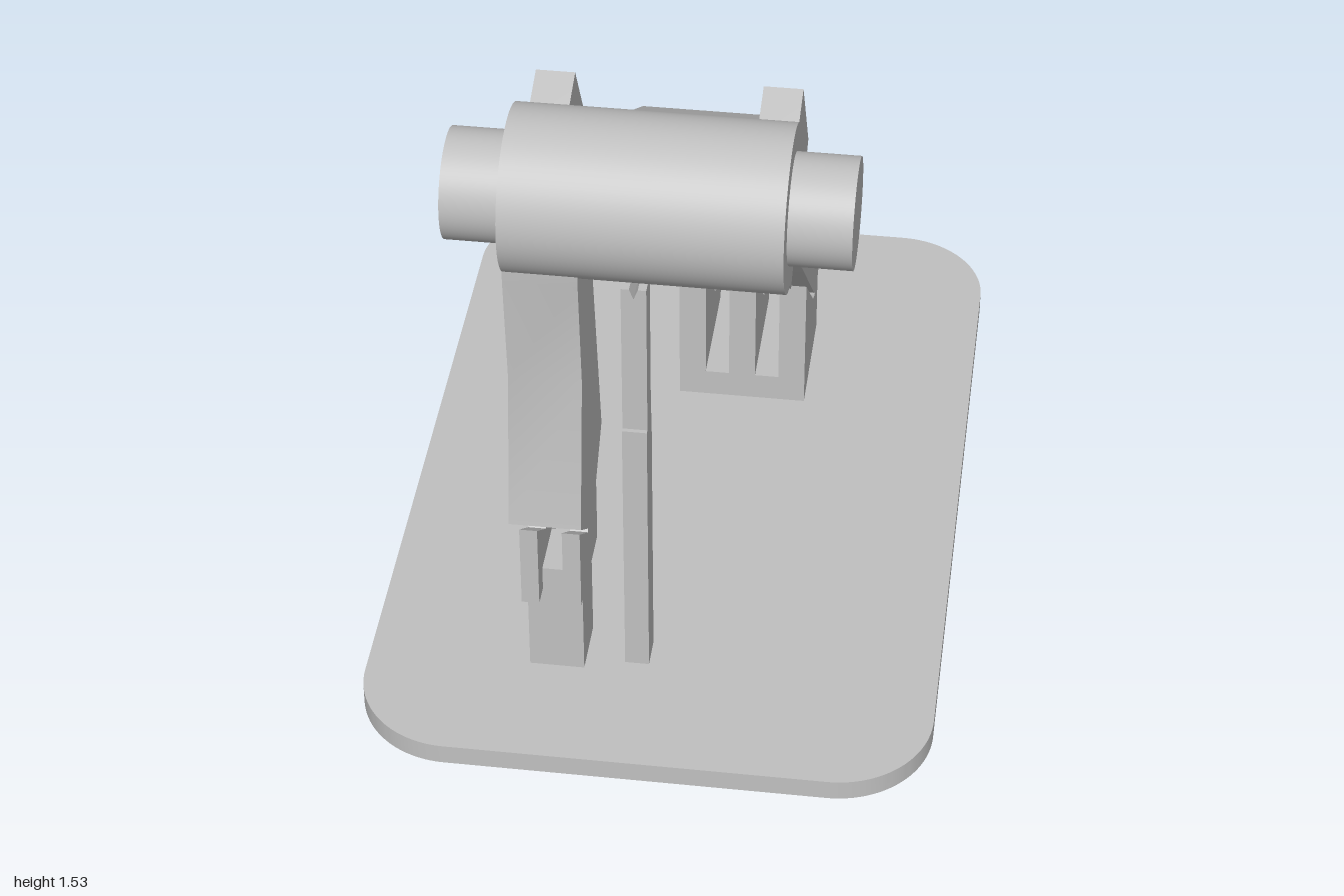
import * as THREE from 'three';
import { toCreasedNormals } from 'three/addons/utils/BufferGeometryUtils.js';

export function createModel() {
  const model = new THREE.Group();
  model.name = 'mechanism';
  const grey = new THREE.MeshStandardMaterial({ color: 0xc0c0c0 });
  grey.name = 'plain grey';

  const add = (name, geometry) => {
    const mesh = new THREE.Mesh(geometry, grey);
    mesh.name = name;
    model.add(mesh);
    return mesh;
  };

  // Box given by its limits on each axis
  const box = (name, x0, x1, y0, y1, z0, z1) =>
    add(name, new THREE.BoxGeometry(x1 - x0, y1 - y0, z1 - z0))
      .position.set((x0 + x1) / 2, (y0 + y1) / 2, (z0 + z1) / 2);

  // Side outline of [z, y] points as a shape whose x is -z
  const side = (points) => new THREE.Shape(points.map(([z, y]) => new THREE.Vector2(-z, y)));

  // Side shape extruded from x0 to x1
  const profile = (name, shape, x0, x1) => {
    const geometry = new THREE.ExtrudeGeometry(shape, { depth: x1 - x0, bevelEnabled: false, curveSegments: 20 });
    geometry.rotateY(Math.PI / 2).translate(x0, 0, 0);
    add(name, toCreasedNormals(geometry, 0.35));
  };

  const axle = (name, radius, x0, x1) => {
    const geometry = new THREE.CylinderGeometry(radius, radius, x1 - x0, 64).rotateZ(Math.PI / 2);
    add(name, geometry).position.set((x0 + x1) / 2, 1.35, 0.64);
  };

  // Base plate with rounded corners
  const w = 0.65, d = 1, r = 0.22;
  const plate = new THREE.Shape();
  plate.absarc(w - r, d - r, r, 0, Math.PI / 2);
  plate.absarc(r - w, d - r, r, Math.PI / 2, Math.PI);
  plate.absarc(r - w, r - d, r, Math.PI, Math.PI * 1.5);
  plate.absarc(w - r, r - d, r, Math.PI * 1.5, Math.PI * 2);
  const plateGeometry = new THREE.ExtrudeGeometry(plate, { depth: 0.05, bevelEnabled: false, curveSegments: 16 });
  add('basePlate', toCreasedNormals(plateGeometry.rotateX(-Math.PI / 2), 0.35));
  box('rearMarker', -0.035, 0.025, 0.05, 0.085, -0.94, -0.735);

  // Barrel and its pin
  axle('barrel', 0.18, -0.3, 0.295);
  axle('pin', 0.12, -0.43, 0.43);

  // Curved arm with a round foot
  const arm = new THREE.Shape();
  arm.moveTo(-0.64, 1.35);
  arm.lineTo(-0.5, 1.465);
  arm.lineTo(-0.28, 1.325);
  arm.bezierCurveTo(-0.14, 1.23, -0.02, 1.08, 0.05, 0.92);
  arm.lineTo(0.61, 0.365);
  arm.absarc(0.55, 0.305, 0.085, Math.PI / 4, -Math.PI * 0.75, true);
  arm.lineTo(-0.07, 0.8);
  arm.bezierCurveTo(-0.16, 0.97, -0.3, 1.09, -0.47, 1.125);
  arm.lineTo(-0.6, 1.18);
  profile('arm', arm, -0.07, 0.245);

  // Yoke: cross bar with a lug at each end
  profile('yokeBar', side([[0.64, 1.18], [0.54, 1.06], [0.46, 1.13], [0.37, 1.1], [0.325, 1.134], [0.46, 1.35], [0.6, 1.35]]), -0.29, 0.285);
  for (const x of [-0.29, 0.2])
    profile('yokeLug', side([[0.6, 1.35], [0.5, 1.4], [0.35, 1.45], [0.21, 1.22], [0.37, 1.1], [0.46, 1.13], [0.6, 1.2]]), x, x + 0.085);

  // Front leg with a pointed foot
  profile('frontLeg', side([[0.77, 1.25], [0.77, 1.2], [0.743, 0.92], [0.8, 0.55], [0.655, 0.43], [0.49, 0.6], [0.575, 1.09], [0.6, 1.25]]), -0.3, -0.14);

  // Forked stand under the front leg
  box('frontStand', -0.28, -0.155, 0.05, 0.345, 0.575, 0.71);
  for (const x of [-0.285, -0.19])
    profile('frontStandProng', side([[0.76, 0.285], [0.76, 0.5], [0.65, 0.41], [0.52, 0.55], [0.52, 0.285]]), x, x + 0.04);

  // Slim post with a notched tip
  box('postLower', -0.065, -0.01, 0.05, 0.74, 0.605, 0.68);
  const tip = new THREE.Shape([[-0.065, 0.74], [-0.01, 0.74], [-0.01, 1.125], [-0.028, 1.125],
    [-0.0375, 1.1], [-0.047, 1.125], [-0.065, 1.125]].map(([x, y]) => new THREE.Vector2(x, y)));
  add('postUpper', new THREE.ExtrudeGeometry(tip, { depth: 0.055, bevelEnabled: false })).position.z = 0.615;

  // Three-pronged cradle under the round foot
  box('rearCradleBase', -0.068, 0.243, 0.05, 0.12, -0.605, -0.3);
  const cradle = new THREE.Shape();
  cradle.moveTo(0.605, 0.12);
  cradle.lineTo(0.605, 0.222);
  cradle.absarc(0.55, 0.305, 0.1, -0.98, -Math.PI * 0.75, true);
  cradle.lineTo(0.3, 0.41);
  cradle.lineTo(0.3, 0.12);
  for (const x of [-0.068, 0.055, 0.178]) profile('rearCradleProng', cradle, x, x + 0.065);

  return model;
}
